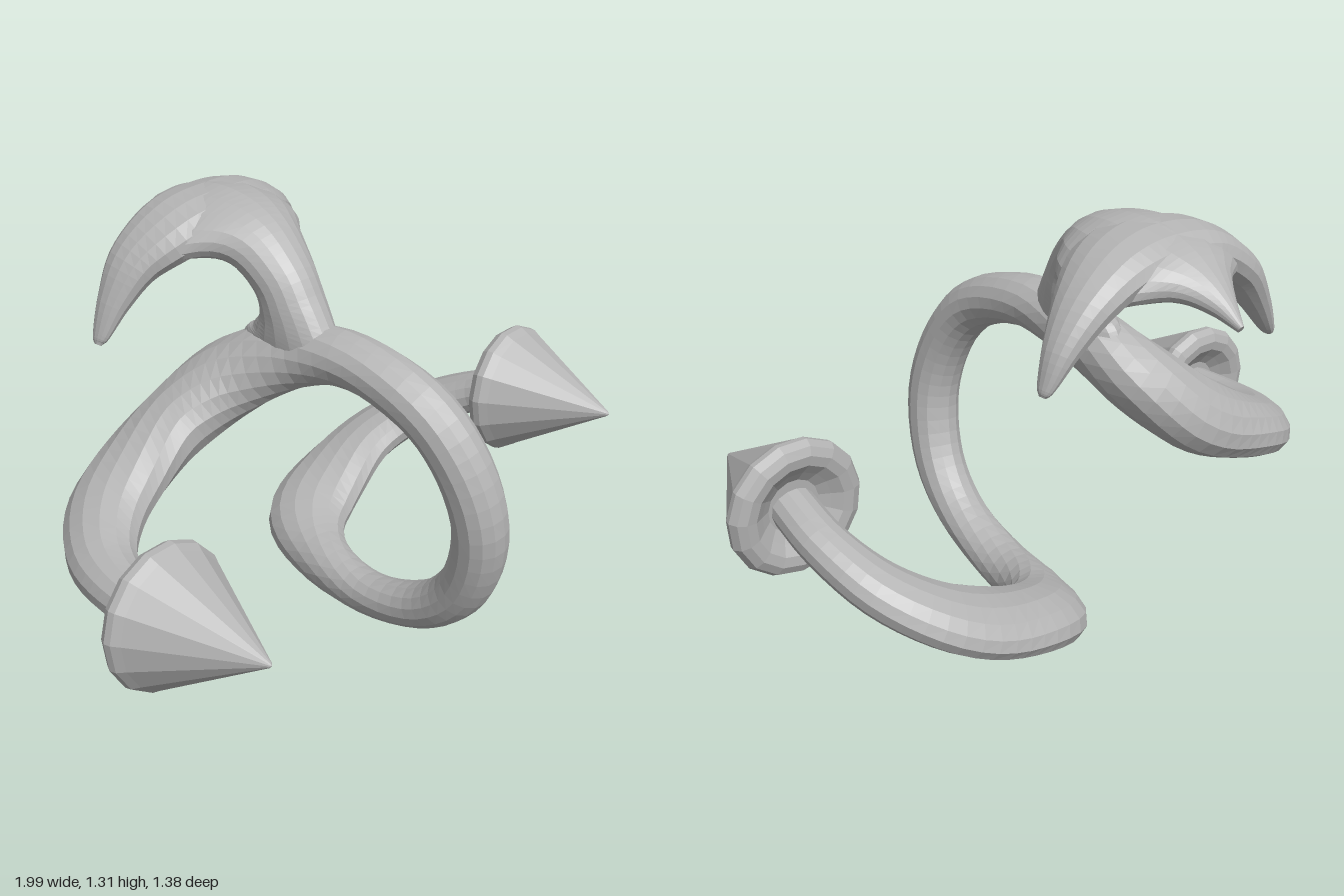
import * as THREE from 'three';

const grey = new THREE.MeshStandardMaterial({ color: 0xb4b4b4, flatShading: true });
grey.name = 'plain grey';

// Loft of ellipses along a smooth path. Each row: x, y, z, half-width, half-thickness.
// The width axis follows `hint`; without one it points to the outside of the bend.
// `droop` lowers the sides in proportion to the square of the sideways distance.
function loft(name, rows, steps, sides, hint, droop = 0) {
  const path = new THREE.CatmullRomCurve3(rows.map(r => new THREE.Vector3(r[0], r[1], r[2])), false, 'catmullrom');
  const size = new THREE.CatmullRomCurve3(rows.map(r => new THREE.Vector3(r[3], r[4], 0)), false, 'catmullrom');
  const pos = [], index = [], d = 0.07;
  for (let i = -1; i <= steps + 1; i++) {
    const t = THREE.MathUtils.clamp(i / steps, 0, 1);
    const p = path.getPoint(t), s = size.getPoint(t), T = path.getTangent(t);
    let N = hint && hint.clone();
    if (!N) {
      const u = THREE.MathUtils.clamp(t, d, 1 - d);
      N = path.getPoint(u).multiplyScalar(2).sub(path.getPoint(u - d)).sub(path.getPoint(u + d));
    }
    N.addScaledVector(T, -N.dot(T)).normalize();
    const B = T.clone().cross(N);
    const k = i < 0 || i > steps ? 0 : 1; // closed ends
    for (let j = 0; j < sides; j++) {
      const a = j / sides * Math.PI * 2;
      const v = p.clone().addScaledVector(N, k * s.x * Math.cos(a)).addScaledVector(B, k * s.y * Math.sin(a));
      pos.push(v.x, v.y - droop * (v.x - p.x) ** 2, v.z);
    }
  }
  for (let i = 0; i < steps + 2; i++) {
    for (let j = 0; j < sides; j++) {
      const a = i * sides + j, b = i * sides + (j + 1) % sides;
      index.push(a, b, a + sides, b, b + sides, a + sides);
    }
  }
  const geo = new THREE.BufferGeometry();
  geo.setAttribute('position', new THREE.Float32BufferAttribute(pos, 3));
  geo.setIndex(index);
  geo.computeVertexNormals();
  const mesh = new THREE.Mesh(geo, grey);
  mesh.name = name;
  return mesh;
}

// Pointed end with a rounded rim and a hollow back
function spike(name, x, y) {
  const profile = [[0, 0], [0.08, 0], [0.11, -0.02], [0.14, -0.042], [0.17, -0.046],
    [0.195, -0.035], [0.208, -0.012], [0.205, 0.008], [0.19, 0.032], [0.008, 0.358], [0, 0.365]];
  const geo = new THREE.LatheGeometry(profile.map(p => new THREE.Vector2(...p)), 15);
  geo.rotateX(Math.PI / 2);
  const mesh = new THREE.Mesh(geo, grey);
  mesh.name = name;
  mesh.position.set(x, y, 0.19);
  mesh.rotation.x = -0.06;
  return mesh;
}

export function createModel() {
  const group = new THREE.Group();
  group.name = 'coiledHook';

  // One continuous coil: right arm, front ring, left arm
  group.add(loft('coil', [
    [-0.79, 0.44, 0.2, 0.07, 0.065],
    [-0.785, 0.44, 0.03, 0.078, 0.068],
    [-0.725, 0.46, -0.13, 0.1, 0.075],
    [-0.59, 0.51, -0.25, 0.13, 0.085],
    [-0.42, 0.585, -0.29, 0.143, 0.095],
    [-0.265, 0.668, -0.275, 0.148, 0.108],
    [-0.145, 0.78, -0.185, 0.135, 0.108],
    [-0.085, 0.88, -0.01, 0.1, 0.092],
    [-0.062, 0.92, 0.2, 0.08, 0.085],
    [-0.048, 0.85, 0.43, 0.08, 0.085],
    [-0.022, 0.7, 0.56, 0.08, 0.085],
    [0.008, 0.5, 0.61, 0.08, 0.085],
    [0.034, 0.29, 0.555, 0.078, 0.082],
    [0.05, 0.145, 0.41, 0.072, 0.08],
    [0.07, 0.072, 0.18, 0.068, 0.08],
    [0.12, 0.084, -0.055, 0.09, 0.082],
    [0.225, 0.132, -0.205, 0.138, 0.084],
    [0.41, 0.2, -0.252, 0.143, 0.077],
    [0.585, 0.28, -0.235, 0.127, 0.072],
    [0.72, 0.37, -0.13, 0.1, 0.068],
    [0.785, 0.455, 0.03, 0.078, 0.065],
    [0.79, 0.515, 0.2, 0.07, 0.065],
  ], 96, 14));

  // Neck flaring out of the coil, broadening into the rear prong
  group.add(loft('neckAndRearProng', [
    [-0.08, 0.9, 0.0, 0.075, 0.185],
    [-0.075, 0.96, 0.003, 0.085, 0.145],
    [-0.07, 1.03, -0.008, 0.092, 0.102],
    [-0.065, 1.11, -0.045, 0.1, 0.084],
    [-0.05, 1.19, -0.135, 0.135, 0.08],
    [-0.035, 1.227, -0.24, 0.22, 0.076],
    [-0.03, 1.232, -0.36, 0.27, 0.074],
    [-0.03, 1.21, -0.47, 0.215, 0.066],
    [-0.03, 1.18, -0.55, 0.105, 0.05],
    [-0.03, 1.14, -0.62, 0.045, 0.033],
    [-0.03, 1.095, -0.685, 0.009, 0.012],
  ], 48, 20, new THREE.Vector3(1, 0, 0), 1.2));

  // Crescent of two drooping side prongs
  group.add(loft('sideProngs', [
    [-0.435, 0.91, -0.43, 0.012, 0.008],
    [-0.42, 0.935, -0.43, 0.03, 0.02],
    [-0.365, 1.035, -0.422, 0.06, 0.042],
    [-0.29, 1.135, -0.405, 0.098, 0.06],
    [-0.17, 1.21, -0.365, 0.145, 0.074],
    [-0.03, 1.228, -0.345, 0.165, 0.077],
    [0.11, 1.212, -0.365, 0.145, 0.074],
    [0.24, 1.15, -0.4, 0.1, 0.062],
    [0.335, 1.06, -0.42, 0.06, 0.044],
    [0.392, 0.97, -0.425, 0.03, 0.02],
    [0.405, 0.945, -0.425, 0.012, 0.008],
  ], 50, 14, new THREE.Vector3(0, 0, 1)));

  group.add(spike('rightSpike', -0.79, 0.445), spike('leftSpike', 0.79, 0.52));
  return group;
}
